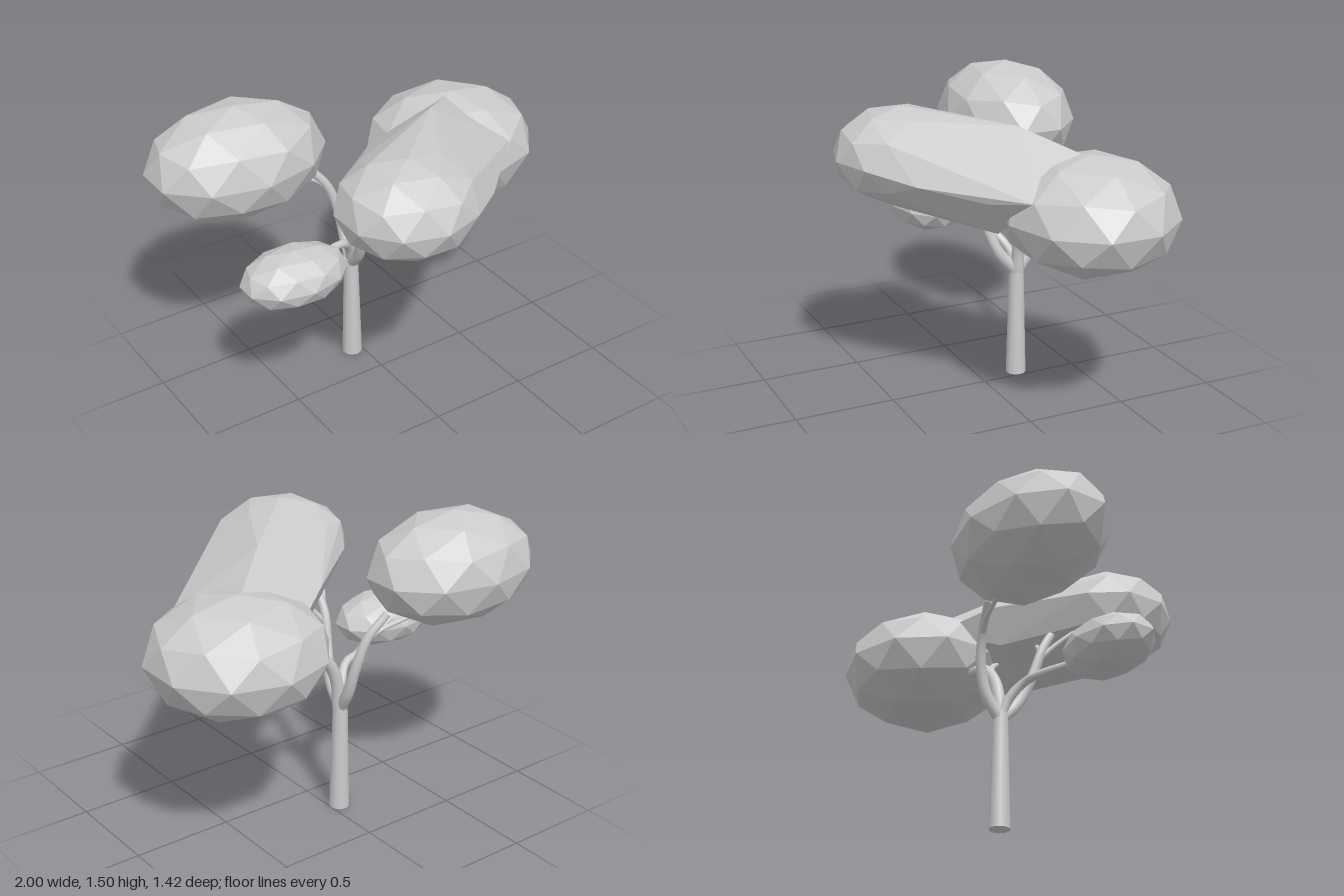
import * as THREE from 'three';
import { ConvexGeometry } from 'three/addons/geometries/ConvexGeometry.js';

const foliageMat = new THREE.MeshStandardMaterial({ color: 0xcccccc, flatShading: true });
const woodMat = new THREE.MeshStandardMaterial({ color: 0xcccccc, side: THREE.DoubleSide });
const V = (p) => new THREE.Vector3(...p);

// Faceted ellipsoid with a corner at its top and bottom
function blobGeometry(center, radii) {
  const g = new THREE.IcosahedronGeometry(1, 1);
  g.rotateZ(-Math.atan(2 / (1 + Math.sqrt(5))));
  g.scale(...radii);
  g.translate(...center);
  return g;
}

function pointsOf(geometry) {
  const pos = geometry.attributes.position;
  const seen = new Map();
  for (let i = 0; i < pos.count; i++) {
    const v = new THREE.Vector3().fromBufferAttribute(pos, i);
    const key = v.toArray().map((n) => Math.round(n * 1e4)).join();
    if (!seen.has(key)) seen.set(key, v);
  }
  return [...seen.values()];
}

// Tube along a smooth path whose radius runs from r0 to r1
function branchGeometry(path, r0, r1, rings = 14, sides = 10) {
  const curve = new THREE.CatmullRomCurve3(path.map(V));
  const g = new THREE.TubeGeometry(curve, rings, 1, sides, false);
  const pos = g.attributes.position;
  const v = new THREE.Vector3();
  for (let i = 0; i < pos.count; i++) {
    const t = Math.floor(i / (sides + 1)) / rings;
    const c = curve.getPointAt(t);
    v.fromBufferAttribute(pos, i).sub(c).multiplyScalar(r0 + (r1 - r0) * t).add(c);
    pos.setXYZ(i, v.x, v.y, v.z);
  }
  return g;
}

export function createModel() {
  const tree = new THREE.Group();
  tree.name = 'tree';
  const add = (name, geometry, material) => {
    const mesh = new THREE.Mesh(geometry, material);
    mesh.name = name;
    tree.add(mesh);
  };

  // Trunk
  const trunk = new THREE.CylinderGeometry(0.036, 0.051, 0.58, 12);
  trunk.translate(-0.05, 0.29, -0.2);
  add('trunk', trunk, woodMat);

  // Main branches: name, path, start and end radius
  const branches = [
    ['frontBranch', [[-0.05, 0.56, -0.19], [-0.06, 0.65, -0.11], [-0.09, 0.8, -0.045], [-0.11, 0.95, 0], [-0.11, 1.06, 0.06]], 0.031, 0.02],
    ['backBranch', [[-0.05, 0.56, -0.21], [-0.04, 0.65, -0.27], [-0.05, 0.8, -0.315], [-0.1, 0.95, -0.34], [-0.19, 1.06, -0.37]], 0.031, 0.02],
    ['leftBranch', [[-0.04, 0.55, -0.2], [-0.03, 0.67, -0.2], [0.01, 0.78, -0.2], [0.1, 0.87, -0.2], [0.28, 0.91, -0.2]], 0.034, 0.024],
    ['rightBranch', [[-0.05, 0.56, -0.2], [-0.08, 0.66, -0.17], [-0.14, 0.73, -0.125], [-0.23, 0.745, -0.1], [-0.36, 0.77, -0.02]], 0.026, 0.015],
    // Twigs
    ['frontTwig', [[-0.1, 0.9, -0.01], [-0.14, 0.97, 0.05], [-0.2, 1.06, 0.14]], 0.016, 0.01],
    ['innerTwig', [[-0.1, 0.92, 0], [-0.06, 0.97, 0.02], [-0.01, 1.03, 0.03]], 0.016, 0.01],
    ['backTwig', [[-0.09, 0.93, -0.335], [-0.15, 0.98, -0.36], [-0.32, 1.03, -0.4]], 0.016, 0.01],
    ['leftTwig', [[0.05, 0.83, -0.2], [0.1, 0.9, -0.15], [0.17, 0.96, -0.08]], 0.018, 0.01],
  ];
  for (const [name, path, r0, r1] of branches) add(name, branchGeometry(path, r0, r1), woodMat);

  // Separate foliage clumps
  add('backFoliage', blobGeometry([-0.565, 1.225, -0.385], [0.457, 0.275, 0.325]), foliageMat);
  add('smallFoliage', blobGeometry([-0.54, 0.81, 0.075], [0.273, 0.133, 0.187]), foliageMat);
  add('leftFoliage', blobGeometry([0.58, 1.03, -0.25], [0.44, 0.28, 0.41]), foliageMat);

  // Front clump, stretched back until it sinks into the left clump
  const stretch = [
    [0.3, 1.4, -0.02], [0.56, 1.29, -0.25], [0.3, 1.17, 0.48], [0.53, 1.125, 0.24],
    [0.7, 1.15, 0.09], [0.45, 0.95, 0.15], [0.2, 0.91, 0.06], [0.06, 1.2, -0.19],
    [0.08, 1.02, -0.12], [0.3, 1.12, -0.35],
  ].map(V);
  const front = pointsOf(blobGeometry([-0.12, 1.21, 0.385], [0.347, 0.235, 0.325]));
  add('frontFoliage', new ConvexGeometry([...front, ...stretch]), foliageMat);

  return tree;
}
